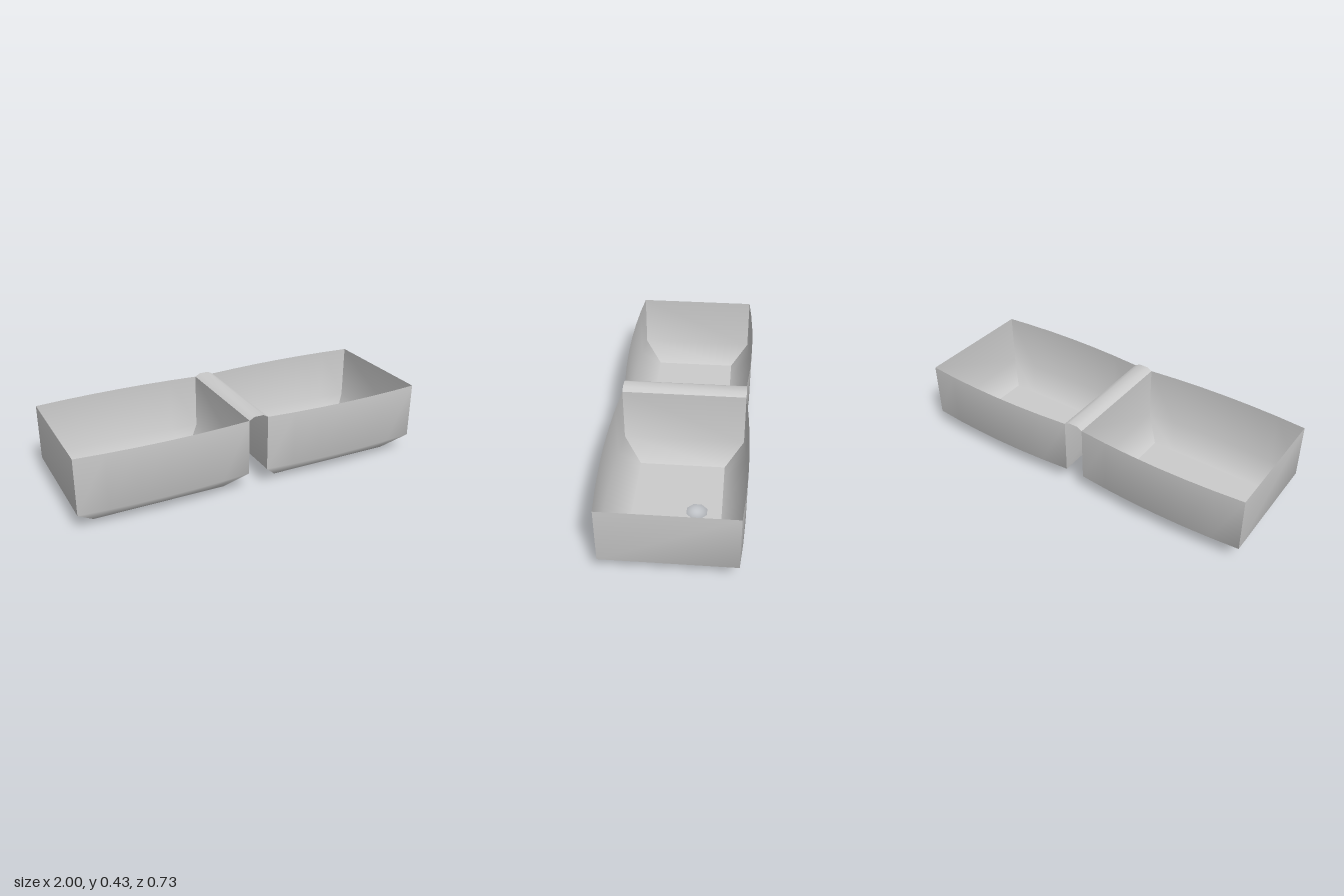
import * as THREE from 'three';

const material = new THREE.MeshStandardMaterial({ color: 0xcccccc, side: THREE.DoubleSide });

const RIM = 0.417, BEND = 0.105;       // heights of the rim and of the bend in the walls
const HALF_W = 0.4725, HALF_D = 0.341; // basin half sizes at the corners
const FLOOR_W = 0.368, FLOOR_D = 0.239;
const BULGE = 0.024, CENTRE = 0.5275;

// Smooth sheet through rows of points; every row has the same length
function sheet(name, rows) {
  const n = rows[0].length, index = [];
  for (let r = 0; r < rows.length - 1; r++) {
    for (let i = 0; i < n - 1; i++) {
      const a = r * n + i, b = a + n;
      index.push(a, b, a + 1, a + 1, b, b + 1);
    }
  }
  const geometry = new THREE.BufferGeometry();
  geometry.setAttribute('position', new THREE.Float32BufferAttribute(rows.flat(2), 3));
  geometry.setIndex(index);
  geometry.computeVertexNormals();
  const mesh = new THREE.Mesh(geometry, material);
  mesh.name = name;
  return mesh;
}

// Wall seen from outside: upright panel, then a slope in to the floor
function wall(name, half, dist, floorHalf, floorDist, bulge, segments) {
  const row = (y, h, d, b) => Array.from({ length: segments + 1 }, (_, i) => {
    const u = (2 * i) / segments - 1;
    return [u * h, y, d + b * (1 - u * u)];
  });
  return sheet(name, [
    row(RIM, half, dist, bulge),
    row(BEND, half, dist, bulge),
    row(0, floorHalf, floorDist, 0),
  ]);
}

function basin(name) {
  const group = new THREE.Group();
  group.name = name;

  // Bowed long walls and straight end walls
  [['frontWall', 0], ['backWall', Math.PI]].forEach(([label, angle]) => {
    const mesh = wall(label, HALF_W, HALF_D, FLOOR_W, FLOOR_D, BULGE, 6);
    mesh.rotation.y = angle;
    group.add(mesh);
  });
  [['leftWall', Math.PI / 2], ['rightWall', -Math.PI / 2]].forEach(([label, angle]) => {
    const mesh = wall(label, HALF_D, HALF_W, FLOOR_D, FLOOR_W, 0, 1);
    mesh.rotation.y = angle;
    group.add(mesh);
  });

  // Floor with an eight-sided drain hole towards the back
  const shape = new THREE.Shape([
    new THREE.Vector2(-FLOOR_W, -FLOOR_D), new THREE.Vector2(FLOOR_W, -FLOOR_D),
    new THREE.Vector2(FLOOR_W, FLOOR_D), new THREE.Vector2(-FLOOR_W, FLOOR_D),
  ]);
  const hole = Array.from({ length: 8 }, (_, i) => {
    const a = ((i + 0.5) / 8) * Math.PI * 2;
    return new THREE.Vector2(0.059 * Math.cos(a), 0.107 + 0.059 * Math.sin(a));
  });
  shape.holes.push(new THREE.Path(hole));
  const floor = new THREE.Mesh(new THREE.ShapeGeometry(shape).rotateX(-Math.PI / 2), material);
  floor.name = 'floor';
  group.add(floor);
  return group;
}

export function createModel() {
  const model = new THREE.Group();
  model.name = 'doubleSink';
  for (const side of [1, -1]) {
    const bowl = basin(side > 0 ? 'leftBasin' : 'rightBasin');
    bowl.position.x = side * CENTRE;
    model.add(bowl);
  }

  // Thin raised divider joining the two rims
  const profile = [[-0.055, RIM], [-0.026, 0.433], [0.026, 0.433], [0.055, RIM]];
  model.add(sheet('divider', [-HALF_D, HALF_D].map((z) => profile.map(([x, y]) => [x, y, z]))));
  return model;
}
